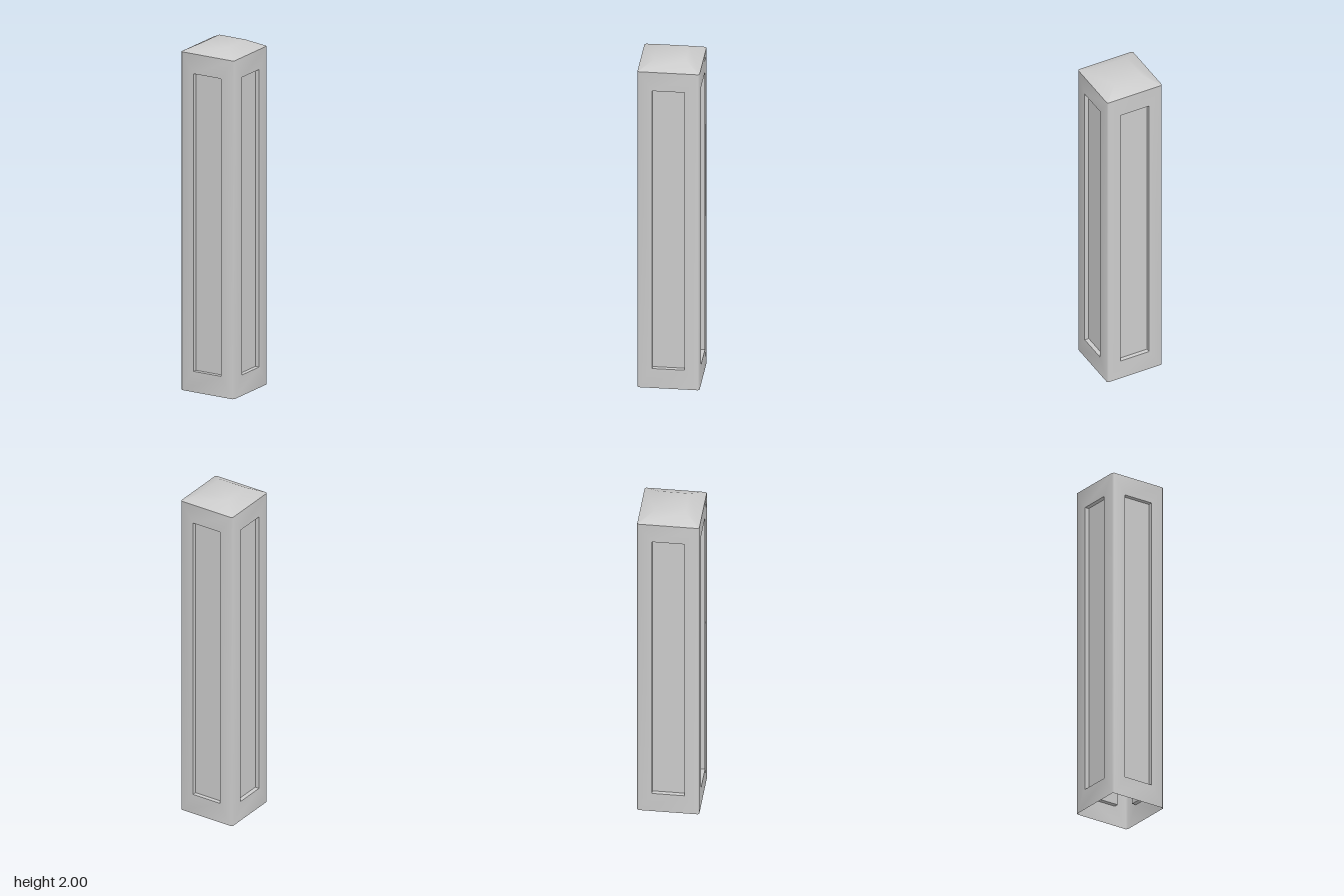
import * as THREE from 'three';
import { mergeGeometries, toCreasedNormals } from 'three/addons/utils/BufferGeometryUtils.js';

const HALF = 0.173, BEVEL = 0.008, EAVE = 1.955, TOP = 2;
const PANEL = { half: 0.09, low: 0.12, high: 1.84, depth: 0.025 };
const CREASE = Math.PI * 0.28;

// Skins closed rings of points from the outside in; optionally fills the last ring.
function loft(rings, fill = false) {
  const out = [];
  const tri = (...points) => points.forEach((p) => out.push(...p));
  for (let r = 0; r < rings.length - 1; r++) {
    const a = rings[r], b = rings[r + 1];
    for (let i = 0; i < a.length; i++) {
      const j = (i + 1) % a.length;
      tri(a[i], a[j], b[j]);
      tri(a[i], b[j], b[i]);
    }
  }
  if (fill) {
    const e = rings[rings.length - 1];
    for (let i = 1; i < e.length - 1; i++) tri(e[0], e[i], e[i + 1]);
  }
  const geometry = new THREE.BufferGeometry();
  geometry.setAttribute('position', new THREE.Float32BufferAttribute(out, 3));
  return geometry;
}

// Upright rectangle on the front side
const rect = (half, low, high, z) => [
  [-half, low, z], [half, low, z], [half, high, z], [-half, high, z],
];

// Horizontal square with clipped corners
function clippedSquare(half, bevel, y) {
  const k = half - bevel;
  return [
    [half, y, k], [half, y, -k], [k, y, -half], [-k, y, -half],
    [-half, y, -k], [-half, y, k], [-k, y, half], [k, y, half],
  ];
}

export function createModel() {
  const group = new THREE.Group();
  const material = new THREE.MeshStandardMaterial({ color: 0xcccccc, side: THREE.DoubleSide });
  const add = (geometry, name) => {
    const mesh = new THREE.Mesh(toCreasedNormals(geometry, CREASE), material);
    mesh.name = name;
    group.add(mesh);
  };

  const opening = rect(PANEL.half, PANEL.low, PANEL.high, HALF);
  const floor = rect(PANEL.half, PANEL.low, PANEL.high, HALF - PANEL.depth);
  const k = HALF - BEVEL;
  const shell = [];

  for (let i = 0; i < 4; i++) {
    const turn = i * Math.PI / 2;
    // Frame around the opening, and the narrow bevel beside it
    shell.push(loft([rect(k, 0, EAVE, HALF), opening]).rotateY(turn));
    shell.push(loft([[[k, 0, HALF], [HALF, 0, k], [HALF, EAVE, k], [k, EAVE, HALF]]], true).rotateY(turn));
    // Sunken panel with its four reveals
    add(loft([opening, floor], true).rotateY(turn), 'sunkenPanel' + (i + 1));
  }
  // Hollow shaft, open underneath
  add(mergeGeometries(shell), 'shaft');

  // Low hipped cap with a flat top
  add(loft([clippedSquare(HALF, BEVEL, EAVE), clippedSquare(0.087, 0.004, TOP)], true), 'cap');

  return group;
}
